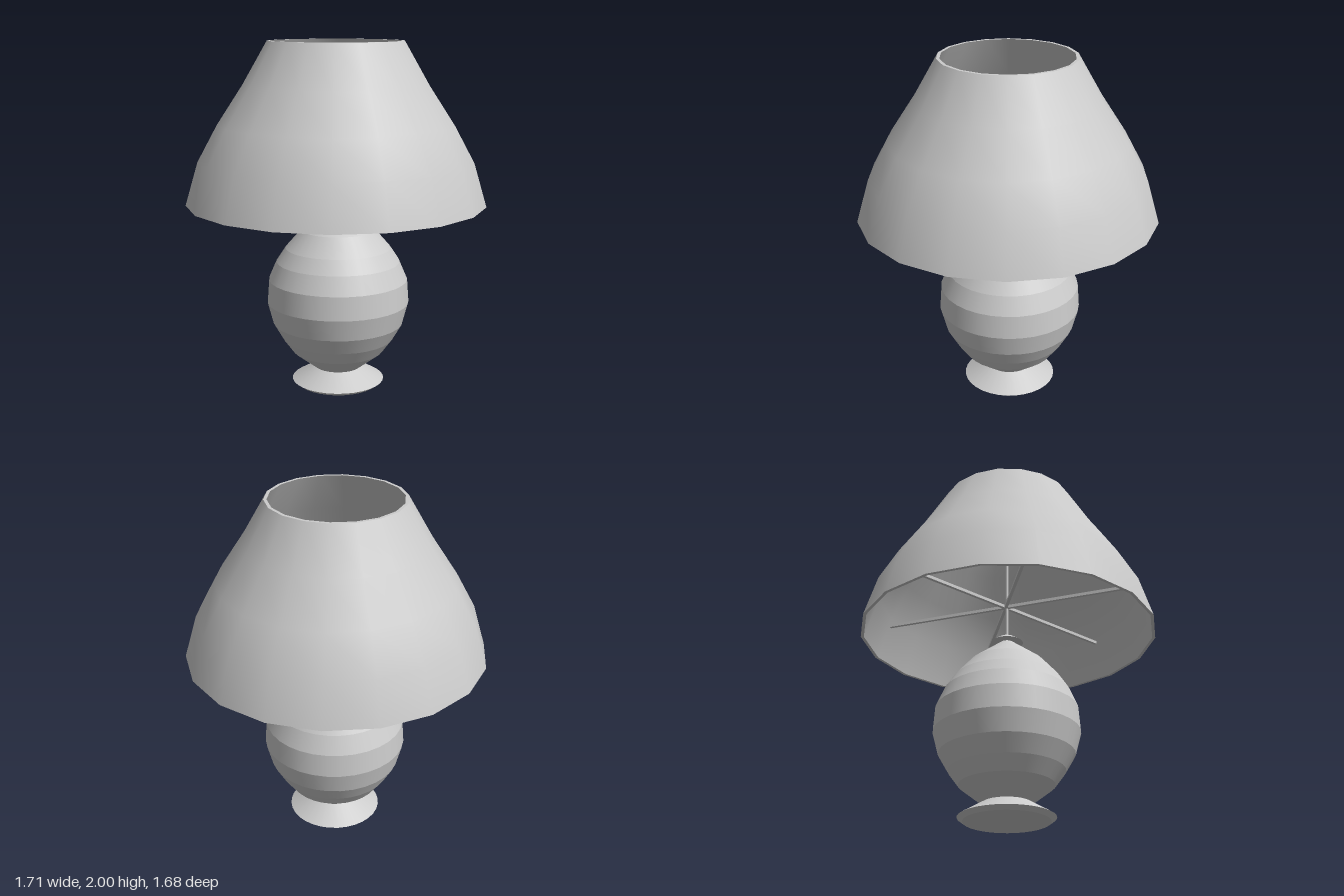
import * as THREE from 'three';
import { mergeGeometries } from 'three/addons/utils/BufferGeometryUtils.js';

const material = new THREE.MeshStandardMaterial({ color: 0xcccccc });
const AXIS_X = 0.012, AXIS_Z = -0.005; // the stand sits slightly off the shade's axis

function addMesh(parent, name, geometry) {
  const mesh = new THREE.Mesh(geometry, material);
  mesh.name = name;
  parent.add(mesh);
  return mesh;
}

// Revolves [radius, height] points; the start angle puts a corner on +x
function revolve(points, sides) {
  return new THREE.LatheGeometry(points.map(([r, y]) => new THREE.Vector2(r, y)), sides, Math.PI / 2);
}

// Revolves each profile segment on its own: smooth around, sharp between bands
function revolveBands(points, sides) {
  return mergeGeometries(points.slice(1).map((p, i) => revolve([points[i], p], sides)));
}

export function createModel() {
  const lamp = new THREE.Group();
  lamp.name = 'tableLamp';

  const stand = new THREE.Group();
  stand.name = 'stand';
  stand.position.set(AXIS_X, 0, AXIS_Z);
  lamp.add(stand);

  // Flared foot
  addMesh(stand, 'foot', revolveBands([
    [0, 0], [0.24, 0], [0.27, 0.022], [0.137, 0.1], [0, 0.1],
  ], 32));

  // Banded round body tapering to the neck
  addMesh(stand, 'body', revolveBands([
    [0, 0.1], [0.137, 0.1], [0.266, 0.2], [0.325, 0.28], [0.38, 0.375], [0.413, 0.5],
    [0.403, 0.635], [0.358, 0.74], [0.305, 0.82], [0.213, 0.925], [0.035, 1.06], [0, 1.06],
  ], 32));

  // Small cap above the neck
  addMesh(stand, 'cap', revolveBands([
    [0, 1.058], [0.093, 1.058], [0.045, 1.09], [0.009, 1.105],
  ], 32));

  // Central rod
  const rod = addMesh(stand, 'rod', new THREE.CylinderGeometry(0.008, 0.008, 0.78, 8));
  rod.position.y = 1.45;

  // Three crossing bars make six spokes that carry the shade
  for (let i = 0; i < 3; i++) {
    const spoke = addMesh(stand, 'spoke', new THREE.BoxGeometry(1.5, 0.018, 0.018));
    spoke.position.set(0, 1.29, -0.008);
    spoke.rotation.y = i * Math.PI / 3;
  }

  // Shade: smooth outer and inner walls joined by flat rims
  const outer = [[0.855, 1.09], [0.782, 1.335], [0.67, 1.54], [0.525, 1.76], [0.386, 2]];
  const inner = outer.map(([r, y]) => [r - 0.018, y]).reverse();
  const last = outer.length - 1;
  addMesh(lamp, 'shade', mergeGeometries([
    revolve(outer, 18),
    revolve([outer[last], inner[0]], 18),
    revolve(inner, 18),
    revolve([inner[last], outer[0]], 18),
  ]));

  return lamp;
}
